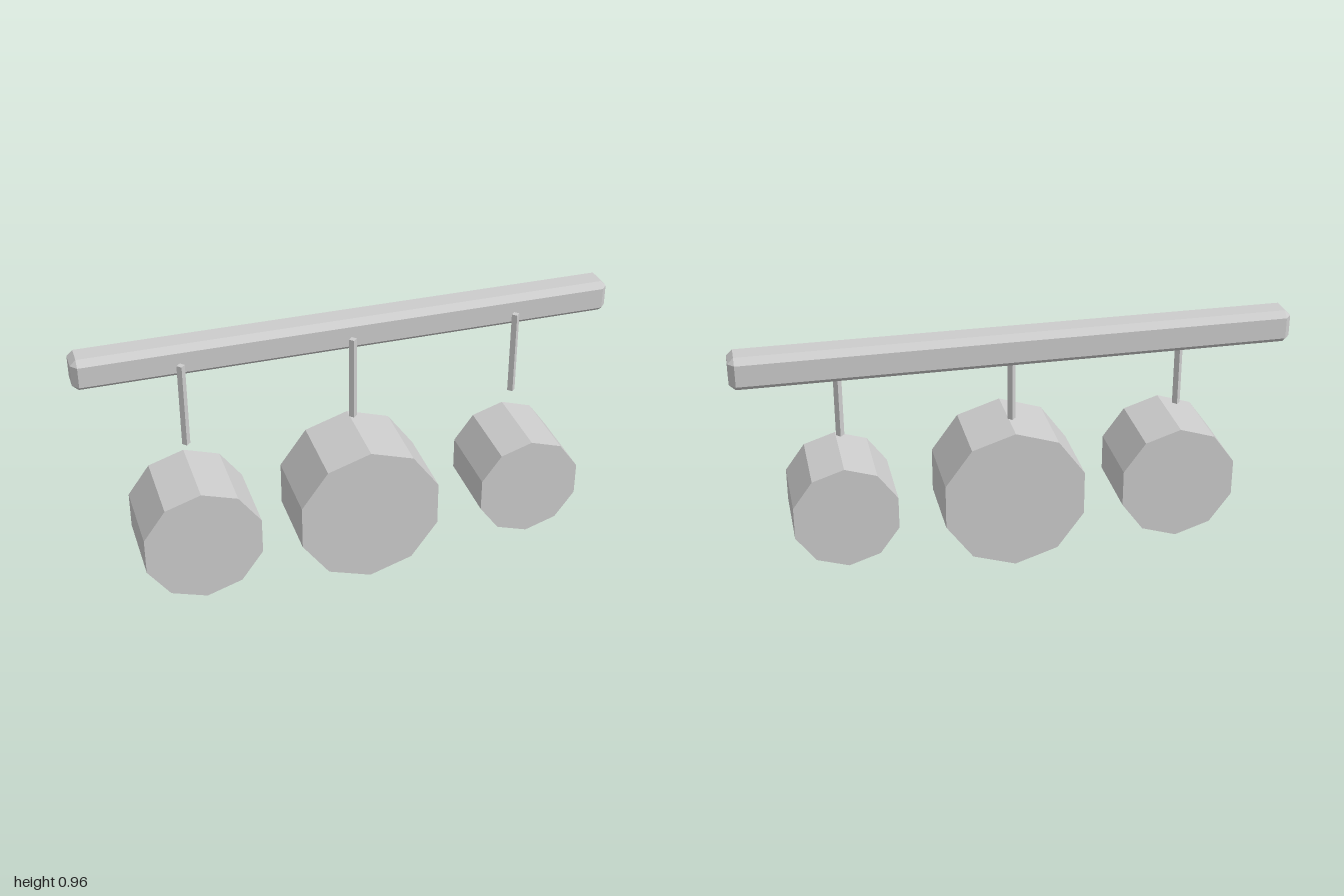
import * as THREE from 'three';
import { ConvexGeometry } from 'three/addons/geometries/ConvexGeometry.js';

// Box with all edges cut flat and small triangular corners
function bevelledBox(w, h, d, bx, by, bz) {
  const points = [];
  for (const sx of [-1, 1]) for (const sy of [-1, 1]) for (const sz of [-1, 1]) {
    const [x, y, z] = [w / 2, h / 2, d / 2];
    points.push(
      new THREE.Vector3(sx * x, sy * (y - by), sz * (z - bz)),
      new THREE.Vector3(sx * (x - bx), sy * y, sz * (z - bz)),
      new THREE.Vector3(sx * (x - bx), sy * (y - by), sz * z)
    );
  }
  return new ConvexGeometry(points);
}

export function createModel() {
  const model = new THREE.Group();
  model.name = 'hangingDrums';
  const grey = new THREE.MeshStandardMaterial({ color: 0xcccccc, flatShading: true });
  grey.name = 'light grey';

  const add = (name, geometry, x, y, z) => {
    const mesh = new THREE.Mesh(geometry, grey);
    mesh.name = name;
    mesh.position.set(x, y, z);
    model.add(mesh);
  };

  // Long bevelled bar at the back
  add('crossbar', bevelledBox(2, 0.12, 0.122, 0.022, 0.021, 0.025), 0, 0.902, -0.119);

  // Three ten-sided drums, each below a thin four-sided rod
  const drums = [['right', -0.625, 0.225], ['middle', 0, 0.275], ['left', 0.625, 0.2]];
  for (const [side, x, radius] of drums) {
    const drum = new THREE.CylinderGeometry(radius, radius, 0.3, 10).rotateX(Math.PI / 2);
    add(side + 'Drum', drum, x, 0.275, 0.03);
    add(side + 'Rod', new THREE.CylinderGeometry(0.015, 0.015, 0.324, 4), x, 0.739, -0.043);
  }
  return model;
}
